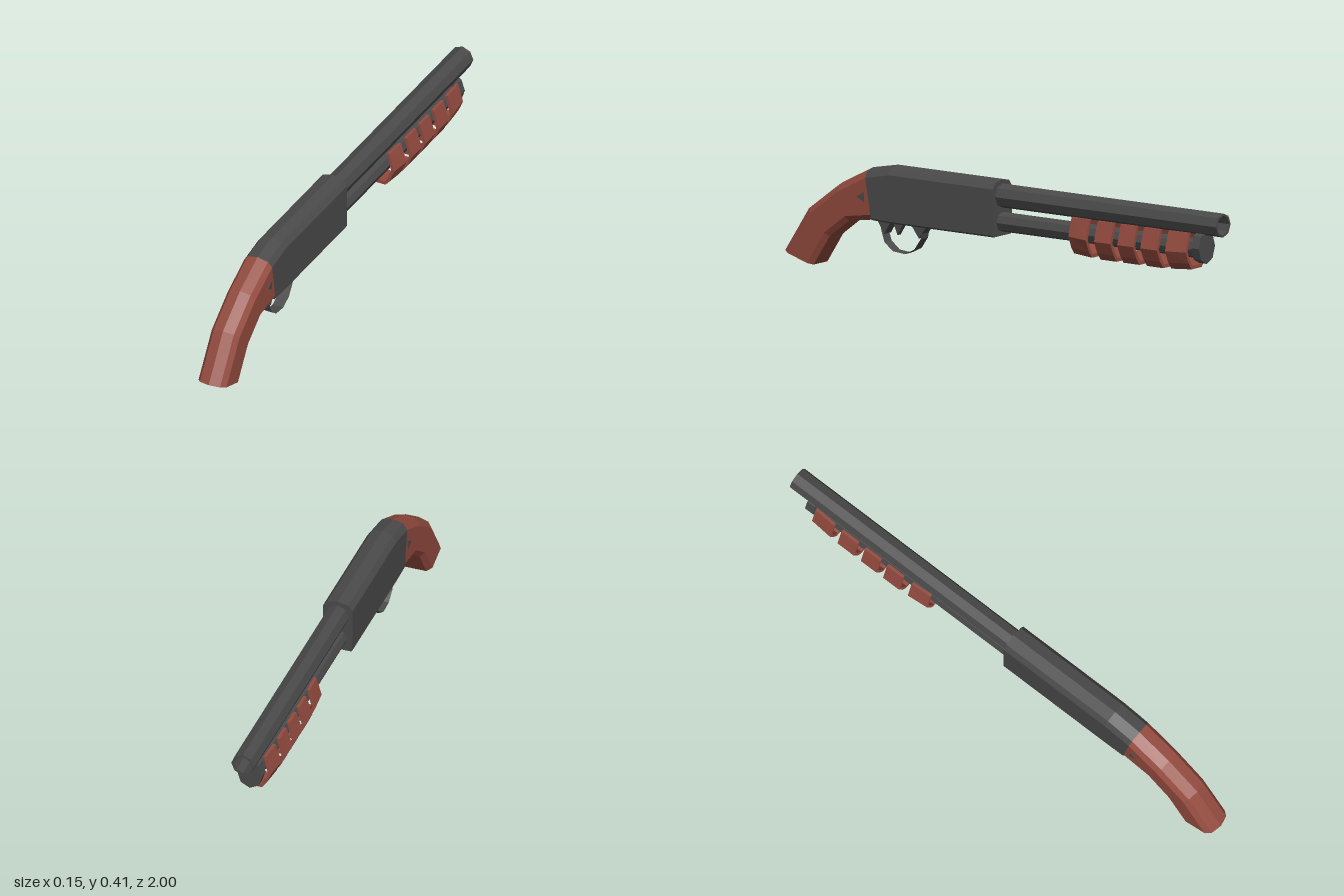
import * as THREE from 'three';

// Flat facets for every part
function flat(geo) {
  const g = geo.index ? geo.toNonIndexed() : geo;
  g.computeVertexNormals();
  return g;
}

// Joins matching counter-clockwise rings of [x, y, z], ordered by rising z
function loft(rings) {
  const n = rings[0].length, idx = [];
  for (let r = 0; r < rings.length - 1; r++) {
    for (let i = 0; i < n; i++) {
      const j = (i + 1) % n, a = r * n, b = a + n;
      idx.push(a + i, a + j, b + j, a + i, b + j, b + i);
    }
  }
  const outline = rings[0].map(p => new THREE.Vector2(p[0], p[1]));
  const last = (rings.length - 1) * n;
  for (const [a, b, c] of THREE.ShapeUtils.triangulateShape(outline, [])) {
    idx.push(c, b, a, last + a, last + b, last + c);
  }
  const g = new THREE.BufferGeometry();
  g.setAttribute('position', new THREE.Float32BufferAttribute(rings.flat(2), 3));
  g.setIndex(idx);
  return flat(g);
}

// Chamfered body section stretched between a bottom and a top point (z, y)
function bodyRing([tz, ty, bz, by], chamfer) {
  const h = Math.hypot(tz - bz, ty - by);
  const right = [[0.058 - chamfer * 0.8, 0], [0.058, chamfer], [0.058, h - 0.032], [0.042, h - 0.01]];
  const pts = [...right, [0, h], ...right.map(([x, d]) => [-x, d]).reverse()];
  return pts.map(([x, d]) => [x, by + (ty - by) * d / h, bz + (tz - bz) * d / h]);
}

// Triangular prism from (z, y) corners, centred on x
function prism(corners, width) {
  const shape = new THREE.Shape(corners.map(([z, y]) => new THREE.Vector2(-z, y)));
  const g = new THREE.ExtrudeGeometry(shape, { depth: width, bevelEnabled: false });
  return flat(g.translate(0, 0, -width / 2).rotateY(Math.PI / 2));
}

// Eight-sided turned part running towards -z
function turned(points, y, z) {
  const g = new THREE.LatheGeometry(points.map(p => new THREE.Vector2(...p)), 8);
  return flat(g.rotateX(-Math.PI / 2).translate(0, y, z));
}

export function createModel() {
  const group = new THREE.Group();
  const metal = new THREE.MeshStandardMaterial({ color: 0x4a4a4a, side: THREE.DoubleSide });
  metal.name = 'darkMetal';
  const wood = new THREE.MeshStandardMaterial({ color: 0x944b3f });
  wood.name = 'redWood';
  const add = (name, geo, mat) => {
    const m = new THREE.Mesh(geo, mat);
    m.name = name;
    group.add(m);
    return m;
  };

  // Receiver with sloping rear top
  add('receiver', loft([
    [0.02, 0.412, 0.02, 0.2], [0.5, 0.412, 0.49, 0.2], [0.615, 0.39, 0.583, 0.203],
  ].map(s => bodyRing(s, 0.006))), metal);

  // Curved pistol grip
  add('grip', loft([
    [0.615, 0.39, 0.583, 0.203], [0.754, 0.32, 0.695, 0.187],
    [0.888, 0.22, 0.786, 0.118], [1.0, 0.048, 0.86, 0.004],
  ].map(s => bodyRing(s, 0.02))), wood);

  // Hollow barrel, magazine tube and its end cap
  add('barrel', turned([[0.045, 0], [0.045, 1.03], [0.036, 1.03], [0.036, 0.9], [0, 0.9]], 0.35, 0.03), metal);
  add('magazineTube', turned([[0.037, 0], [0.037, 0.93], [0, 0.93]], 0.252, 0.03), metal);
  const cap = new THREE.CylinderGeometry(0.062, 0.062, 0.035, 8);
  add('tubeCap', flat(cap.rotateX(Math.PI / 2).scale(0.8, 1, 1).translate(0, 0.26, -0.907)), metal);

  // Ribbed pump handle: open-topped shells, [z start, z end, scale start, scale end]
  const outer = [[0.053, 0.315], [0.076, 0.24], [0.055, 0.194], [0.035, 0.168]];
  const inner = [[0.041, 0.315], [0.062, 0.24], [0.045, 0.203], [0.03, 0.182]];
  const mirror = pts => pts.map(([x, y]) => [-x, y]).reverse();
  const shell = [...mirror(outer), ...[...inner].reverse(), ...mirror(inner).reverse(), ...outer];
  // Order: left rim down, right rim up, then back along the inside
  const rim = [...mirror(outer).reverse(), ...[...outer].reverse(), ...inner, ...mirror(inner)];
  const ribs = [
    [-0.877, -0.786, 0.88, 0.97], [-0.75, -0.674, 1, 1], [-0.64, -0.567, 1, 1],
    [-0.535, -0.46, 1, 1], [-0.42, -0.335, 0.97, 0.88],
  ];
  ribs.forEach(([z0, z1, s0, s1], i) => {
    const ring = (z, s) => rim.slice(0, shell.length).map(([x, y]) => [x * s, 0.315 + (y - 0.315) * (0.5 + s / 2), z]);
    add('pumpRib' + (i + 1), loft([ring(z0, s0), ring(z1, s1)]), wood);
  });

  // Trigger guard: a thin bent band with tapered roots
  const path = [[0.37, 0.2], [0.38, 0.15], [0.41, 0.107], [0.455, 0.085],
    [0.51, 0.09], [0.548, 0.12], [0.562, 0.16], [0.568, 0.205]];
  const band = new THREE.PlaneGeometry(0.044, 1, 1, path.length - 1);
  const pos = band.attributes.position;
  for (let i = 0; i < pos.count; i++) {
    const [z, y] = path[Math.floor(i / 2)];
    pos.setXYZ(i, pos.getX(i), y, z);
  }
  add('triggerGuard', flat(band), metal);
  add('guardFrontRoot', prism([[0.353, 0.201], [0.39, 0.15], [0.428, 0.201]], 0.042), metal);
  add('guardRearRoot', prism([[0.519, 0.201], [0.55, 0.15], [0.583, 0.201]], 0.042), metal);
  add('trigger', prism([[0.465, 0.201], [0.497, 0.15], [0.519, 0.201]], 0.02), metal);

  // Triangular pin running through the grip
  add('gripPin', prism([[0.615, 0.305], [0.615, 0.267], [0.648, 0.285]], 0.12), metal);

  return group;
}
